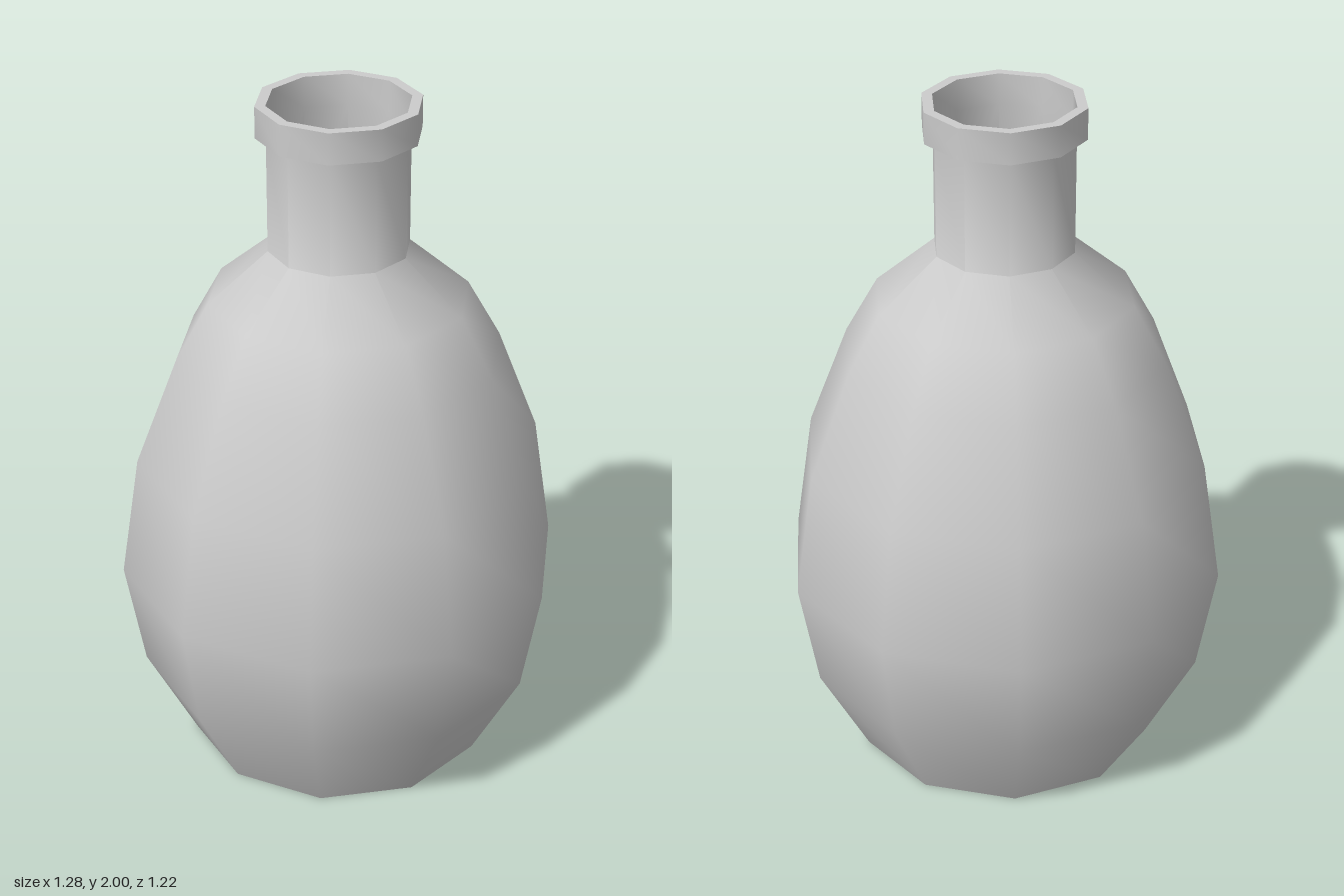
import * as THREE from 'three';
import { toCreasedNormals } from 'three/addons/utils/BufferGeometryUtils.js';

const SIDES = 10;
const material = new THREE.MeshStandardMaterial({ color: 0xcccccc, side: THREE.DoubleSide });

// Ten-sided turned surface with a corner on +x, smooth except at sharp edges
function turned(name, profile) {
  const points = profile.map(([r, y]) => new THREE.Vector2(r, y));
  const geometry = new THREE.LatheGeometry(points, SIDES, Math.PI / 2);
  const mesh = new THREE.Mesh(toCreasedNormals(geometry, 1.0), material);
  mesh.name = name;
  return mesh;
}

export function createModel() {
  const bottle = new THREE.Group();
  bottle.name = 'bottle';

  // Thin-walled belly, shoulder and neck
  bottle.add(turned('body', [
    [0.44, 0], [0.585, 0.275], [0.64, 0.59], [0.585, 0.95],
    [0.465, 1.26], [0.37, 1.43], [0.2, 1.575], [0.2, 1.91],
  ]));

  // Lip ring around the open mouth
  bottle.add(turned('lip', [
    [0.2, 1.91], [0.23, 1.91], [0.23, 2], [0.2, 2], [0.2, 1.91],
  ]));

  // Flat base, facing down
  const base = new THREE.Mesh(new THREE.CircleGeometry(0.44, SIDES), material);
  base.rotation.x = Math.PI / 2;
  base.name = 'base';
  bottle.add(base);

  return bottle;
}
